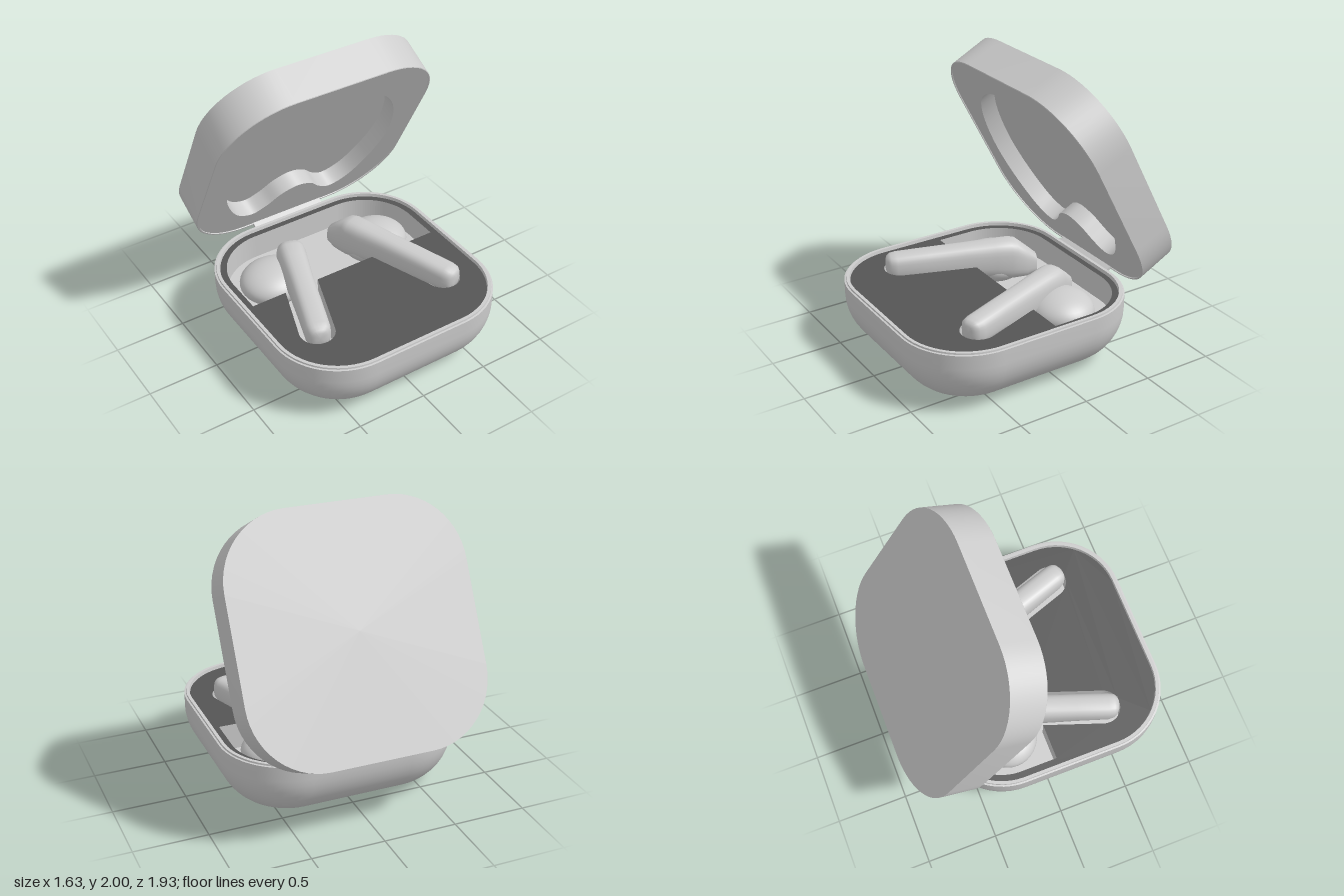
import * as THREE from 'three';
import { toCreasedNormals, mergeVertices } from 'three/addons/utils/BufferGeometryUtils.js';

const grey = new THREE.MeshStandardMaterial({ color: 0xcccccc });
const dark = new THREE.MeshStandardMaterial({ color: 0x555555 });

const HALF = 0.816, CORNER = 0.47;   // plan of the case
const CENTRE_Z = 0.149;              // middle of the base

function add(parent, name, geometry, material = grey) {
  const mesh = new THREE.Mesh(geometry, material);
  mesh.name = name;
  parent.add(mesh);
  return mesh;
}

// Skin through rings of equal length (counter-clockwise seen along the path).
function loft(rings, capStart, capEnd, crease = 0.6) {
  const n = rings[0].length, pos = rings.flat(2), index = [];
  for (let k = 0; k < rings.length - 1; k++) {
    for (let i = 0; i < n; i++) {
      const a = k * n + i, b = k * n + (i + 1) % n;
      index.push(a, b, b + n, a, b + n, a + n);
    }
  }
  const cap = (k, flip) => {
    const c = pos.length / 3;
    for (let d = 0; d < 3; d++) pos.push(rings[k].reduce((s, p) => s + p[d], 0) / n);
    for (let i = 0; i < n; i++) {
      const a = k * n + i, b = k * n + (i + 1) % n;
      index.push(c, flip ? b : a, flip ? a : b);
    }
  };
  if (capStart) cap(0, true);
  if (capEnd) cap(rings.length - 1, false);
  const g = new THREE.BufferGeometry();
  g.setAttribute('position', new THREE.Float32BufferAttribute(pos, 3));
  g.setIndex(index);
  return toCreasedNormals(mergeVertices(g), crease);
}

// Rounded square of the case, inset by d.
function outline(d, steps = 14) {
  const r = CORNER - d, c = HALF - CORNER, pts = [];
  for (let q = 0; q < 4; q++) {
    const sx = q === 0 || q === 3 ? 1 : -1, sy = q < 2 ? 1 : -1;
    for (let i = 0; i <= steps; i++) {
      const a = (q + i / steps) * Math.PI / 2;
      pts.push([sx * c + r * Math.cos(a), sy * c + r * Math.sin(a)]);
    }
  }
  return pts;
}

// Shell from a profile of [inset, height].
const shell = (profile) =>
  loft(profile.map(([d, h]) => outline(d).map(([x, y]) => [x, y, h])), true, false);

function makeBase() {
  const base = new THREE.Group();
  base.name = 'base';

  // Rounded bowl with a stepped rim
  const profile = [];
  for (let i = 0; i <= 12; i++) {
    const a = i / 12 * Math.PI / 2;
    profile.push([0.35 * (1 - Math.sin(a)), 0.35 * (1 - Math.cos(a))]);
  }
  profile.push([0, 0.45], [0.012, 0.452], [0.014, 0.463], [0.036, 0.463], [0.042, 0.43]);
  const bowl = add(base, 'baseShell', shell(profile).rotateX(-Math.PI / 2));
  bowl.position.z = CENTRE_Z;

  // Tray, with a cavity at the back and two stem slots opening into it
  const tray = new THREE.Shape(outline(0.04).map(([x, y]) => new THREE.Vector2(x, y - CENTRE_Z)));
  const well = new THREE.Path();
  const tilt = 0.339, w = 0.73, r = 0.385, edge = -0.06;
  well.moveTo(-w, edge);
  well.lineTo(-0.478, edge);
  well.absarc(-0.506, -0.5, 0.12, Math.PI - tilt, 2 * Math.PI - tilt, false);
  well.lineTo(-0.224, edge);
  well.lineTo(0.224, edge);
  well.absarc(0.506, -0.5, 0.12, Math.PI + tilt, 2 * Math.PI + tilt, false);
  well.lineTo(0.478, edge);
  well.lineTo(w, edge);
  well.absarc(w - r, 0.2, r, 0, Math.PI / 2, false);
  well.absarc(r - w, 0.2, r, Math.PI / 2, Math.PI, false);
  well.closePath();
  tray.holes.push(well);
  const trayGeo = new THREE.ExtrudeGeometry(tray, { depth: 0.19, bevelEnabled: false, curveSegments: 16 });
  add(base, 'tray', trayGeo.rotateX(-Math.PI / 2), [dark, grey]).position.y = 0.25;

  // Floor of the cavity and slots
  const floor = new THREE.ShapeGeometry(new THREE.Shape(well.getPoints(16)));
  add(base, 'cavityFloor', floor.rotateX(-Math.PI / 2)).position.y = 0.255;
  return base;
}

function makeLid() {
  const lid = new THREE.Group();
  lid.name = 'lid';
  add(lid, 'lidShell', shell([[0, -0.272], [0, -0.004], [0.004, 0], [0.014, 0], [0.014, -0.012]]));

  // Inner panel with a recess that curves in around the hinge side
  const half = [[0, 0.62], [0.25, 0.595], [0.44, 0.48], [0.575, 0.27], [0.635, 0], [0.62, -0.2],
    [0.55, -0.41], [0.44, -0.58], [0.32, -0.635], [0.22, -0.58], [0.12, -0.475], [0, -0.43]];
  const mirrored = half.slice(1, -1).reverse().map(([x, y]) => [-x, y]);
  const curve = new THREE.CatmullRomCurve3(
    [...half, ...mirrored].map(([x, y]) => new THREE.Vector3(x, y, 0)), true);
  const rim = curve.getPoints(110).slice(0, -1).map((p) => new THREE.Vector2(p.x, p.y));
  const panel = new THREE.Shape(outline(0.014).map(([x, y]) => new THREE.Vector2(x, y)));
  panel.holes.push(new THREE.Path(rim));
  const panelGeo = toCreasedNormals(
    new THREE.ExtrudeGeometry(panel, { depth: 0.122, bevelEnabled: false }), 0.6);
  add(lid, 'lidPanel', panelGeo).position.z = -0.13;
  add(lid, 'lidRecessFloor', new THREE.ShapeGeometry(new THREE.Shape(rim))).position.z = -0.129;

  lid.position.set(0, 1.153, -0.34);
  lid.rotation.x = 0.484;
  return lid;
}

function makeEarbud(side) {
  const bud = new THREE.Group();
  bud.name = side > 0 ? 'leftEarbud' : 'rightEarbud';

  // Stem sections from the head to the tip: x, z, half width, top, bottom
  const sections = [
    [0.19, -0.41, 0.05, 0.44, 0.30], [0.215, -0.345, 0.08, 0.50, 0.28],
    [0.24, -0.27, 0.10, 0.566, 0.28], [0.255, -0.23, 0.105, 0.576, 0.28],
    [0.29, -0.13, 0.10, 0.575, 0.30], [0.36, 0.07, 0.09, 0.568, 0.33],
    [0.45, 0.33, 0.088, 0.56, 0.36], [0.52, 0.53, 0.086, 0.553, 0.37],
    [0.533, 0.57, 0.076, 0.548, 0.385], [0.54, 0.59, 0.058, 0.535, 0.40],
    [0.544, 0.60, 0.03, 0.515, 0.43]];
  const round = (v) => Math.sign(v) * Math.abs(v) ** 0.7;
  const rings = sections.map(([x, z, w, top, bottom]) =>
    Array.from({ length: 28 }, (_, i) => {
      const a = side * i / 28 * Math.PI * 2;
      const u = w * round(Math.cos(a)), v = round(Math.sin(a));
      return [side * (x + 0.943 * u), (top + bottom) / 2 + (top - bottom) / 2 * v, z - 0.332 * u];
    }));
  add(bud, 'stem', loft(rings, true, true, 0.9));

  // Rounded head lying in the cavity
  const head = add(bud, 'head', new THREE.SphereGeometry(1, 36, 24));
  head.scale.set(0.24, 0.13, 0.22);
  head.position.set(side * 0.42, 0.345, -0.2);
  return bud;
}

export function createModel() {
  const model = new THREE.Group();
  model.name = 'earbudCase';
  model.add(makeBase(), makeLid(), makeEarbud(1), makeEarbud(-1));

  // Hinge plate joining base and lid
  const hinge = add(model, 'hinge', new THREE.BoxGeometry(0.56, 0.02, 0.14));
  hinge.position.set(0, 0.423, -0.69);
  hinge.rotation.x = 0.5;
  return model;
}
